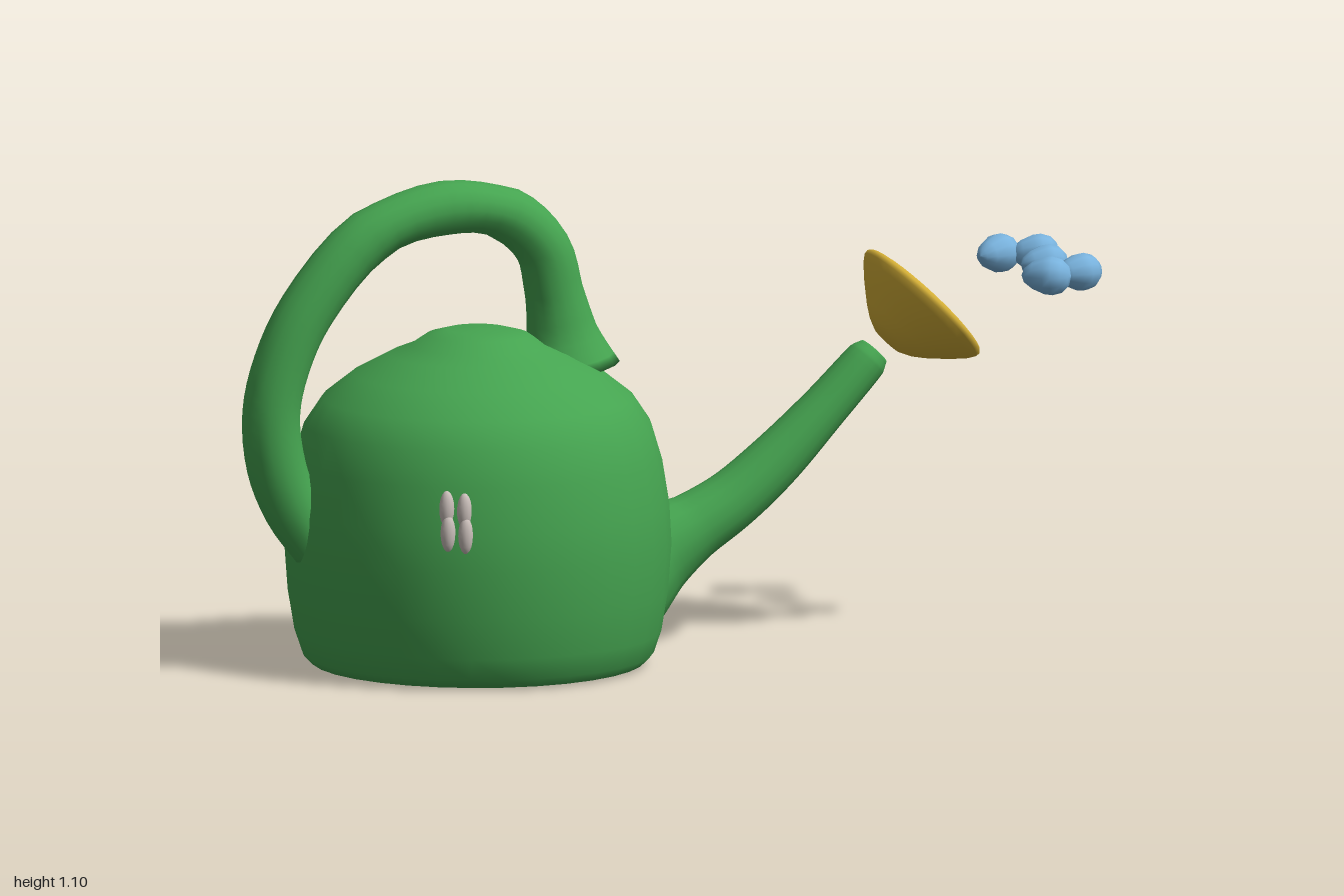
import * as THREE from 'three';

const mat = (name, color) => {
  const m = new THREE.MeshStandardMaterial({ color });
  m.name = name;
  return m;
};

function part(parent, name, geometry, material) {
  const mesh = new THREE.Mesh(geometry, material);
  mesh.name = name;
  parent.add(mesh);
  return mesh;
}

const lathe = (pts, sides) =>
  new THREE.LatheGeometry(pts.map(([r, y]) => new THREE.Vector2(r, y)), sides);

// Closed tube in the xy plane; each station is [x, y, in-plane radius, z radius]
function sweep(stations, steps, sides) {
  const path = new THREE.CatmullRomCurve3(stations.map(s => new THREE.Vector3(s[0], s[1], 0)));
  const radii = new THREE.CatmullRomCurve3(stations.map(s => new THREE.Vector3(s[2], s[3], 0)));
  const pos = [], idx = [];
  for (let i = 0; i <= steps; i++) {
    const p = path.getPoint(i / steps), t = path.getTangent(i / steps), r = radii.getPoint(i / steps);
    for (let j = 0; j < sides; j++) {
      const a = (j / sides) * Math.PI * 2, n = Math.cos(a) * r.x;
      pos.push(p.x - t.y * n, p.y + t.x * n, Math.sin(a) * r.y);
    }
  }
  for (let i = 0; i < steps; i++) {
    for (let j = 0; j < sides; j++) {
      const k = (j + 1) % sides, a = i * sides, b = a + sides;
      idx.push(a + j, a + k, b + j, a + k, b + k, b + j);
    }
  }
  // end caps
  const first = path.getPoint(0), last = path.getPoint(1), c = pos.length / 3;
  pos.push(first.x, first.y, 0, last.x, last.y, 0);
  for (let j = 0; j < sides; j++) {
    const k = (j + 1) % sides, e = steps * sides;
    idx.push(c, k, j, c + 1, e + j, e + k);
  }
  const g = new THREE.BufferGeometry();
  g.setAttribute('position', new THREE.Float32BufferAttribute(pos, 3));
  g.setIndex(idx);
  g.computeVertexNormals();
  return g;
}

export function createModel() {
  const model = new THREE.Group();
  model.name = 'wateringCan';
  const green = mat('green', 0x45a450);
  const gold = mat('gold', 0xd4af37);
  const darkGold = mat('darkGold', 0xa3882c);
  const blue = mat('waterBlue', 0x79b3de);
  const grey = mat('paleGrey', 0xcabfba);

  // Rounded body with a low raised crown
  const body = part(model, 'body', lathe([
    [0, 0.005], [0.3, 0.006], [0.375, 0.01], [0.395, 0.03], [0.412, 0.08], [0.427, 0.17], [0.435, 0.28],
    [0.43, 0.37], [0.414, 0.47], [0.39, 0.55], [0.35, 0.61], [0.28, 0.665], [0.2, 0.708],
    [0.15, 0.728], [0.115, 0.752], [0.07, 0.764], [0, 0.766],
  ], 32), green);
  body.position.x = -0.44;

  // Arched handle from the back of the body to the top
  part(model, 'handle', sweep([
    [-0.82, 0.27, 0.05, 0.05], [-0.885, 0.38, 0.065, 0.062], [-0.923, 0.48, 0.067, 0.065],
    [-0.935, 0.6, 0.065, 0.065], [-0.91, 0.71, 0.064, 0.065], [-0.85, 0.83, 0.063, 0.065],
    [-0.7, 0.99, 0.062, 0.065], [-0.52, 1.044, 0.062, 0.065], [-0.37, 1.02, 0.062, 0.065],
    [-0.285, 0.94, 0.063, 0.065], [-0.258, 0.84, 0.066, 0.065], [-0.24, 0.75, 0.08, 0.075],
    [-0.225, 0.66, 0.12, 0.11],
  ], 48, 16), green);

  // Spout, flared where it joins the body
  part(model, 'spout', sweep([
    [-0.08, 0.2, 0.14, 0.125], [-0.01, 0.24, 0.105, 0.095], [0.08, 0.287, 0.076, 0.078],
    [0.17, 0.34, 0.068, 0.071], [0.27, 0.42, 0.063, 0.064], [0.39, 0.535, 0.053, 0.056],
    [0.49, 0.637, 0.048, 0.05], [0.51, 0.657, 0.036, 0.04],
  ], 36, 16), green);

  // Sprinkler head floating beyond the spout, tilted up and forward
  const head = new THREE.Group();
  head.name = 'sprinklerHead';
  head.position.set(0.628, 0.762, 0);
  head.rotation.z = -0.8;
  model.add(head);
  part(head, 'headShell', lathe([
    [0, -0.124], [0.04, -0.12], [0.065, -0.108], [0.09, -0.09], [0.13, -0.055],
    [0.16, -0.025], [0.17, -0.01], [0.171, 0], [0.164, 0.006], [0.15, 0.009], [0.14, 0.01], [0, 0.01],
  ], 32), gold);
  for (let i = 0; i < 7; i++) {
    const a = (i * Math.PI) / 3, r = i < 6 ? 0.085 : 0;
    const hole = part(head, 'sprayHole', new THREE.CylinderGeometry(0.016, 0.016, 0.004, 12), darkGold);
    hole.position.set(Math.cos(a) * r, 0.011, Math.sin(a) * r);
  }

  // Water drops: rounded fronts with short tails pointing back
  const dropShape = lathe([
    [0, -0.058], [0.016, -0.052], [0.03, -0.034], [0.041, -0.008],
    [0.043, 0.01], [0.037, 0.031], [0.022, 0.046], [0, 0.051],
  ], 12);
  dropShape.rotateZ(-Math.PI / 2);
  const addDrop = (x, z, turn, size) => {
    const drop = part(model, 'waterDrop', dropShape, blue);
    drop.position.set(x, 0.832, z);
    drop.rotation.y = turn;
    drop.scale.setScalar(size);
  };
  addDrop(0.92, 0, 0, 1);
  for (const s of [-1, 1]) {
    addDrop(0.866, s * 0.16, -s * 0.5, 1.03);
    addDrop(0.95, s * 0.138, s * 0.2, 1);
  }

  // Small winged ornament on the front: two waisted ribs
  const ornament = new THREE.Group();
  ornament.name = 'ornament';
  model.add(ornament);
  for (const [x, z, y] of [[-0.651, 0.369, 0.397], [-0.615, 0.386, 0.392]]) {
    for (const s of [-1, 1]) {
      const wing = part(ornament, 'ornamentWing', new THREE.SphereGeometry(1, 12, 10), grey);
      wing.scale.set(0.017, 0.042, 0.016);
      wing.position.set(x, y + s * 0.027, z - s * 0.004);
      wing.rotation.y = -0.3;
    }
  }
  return model;
}
